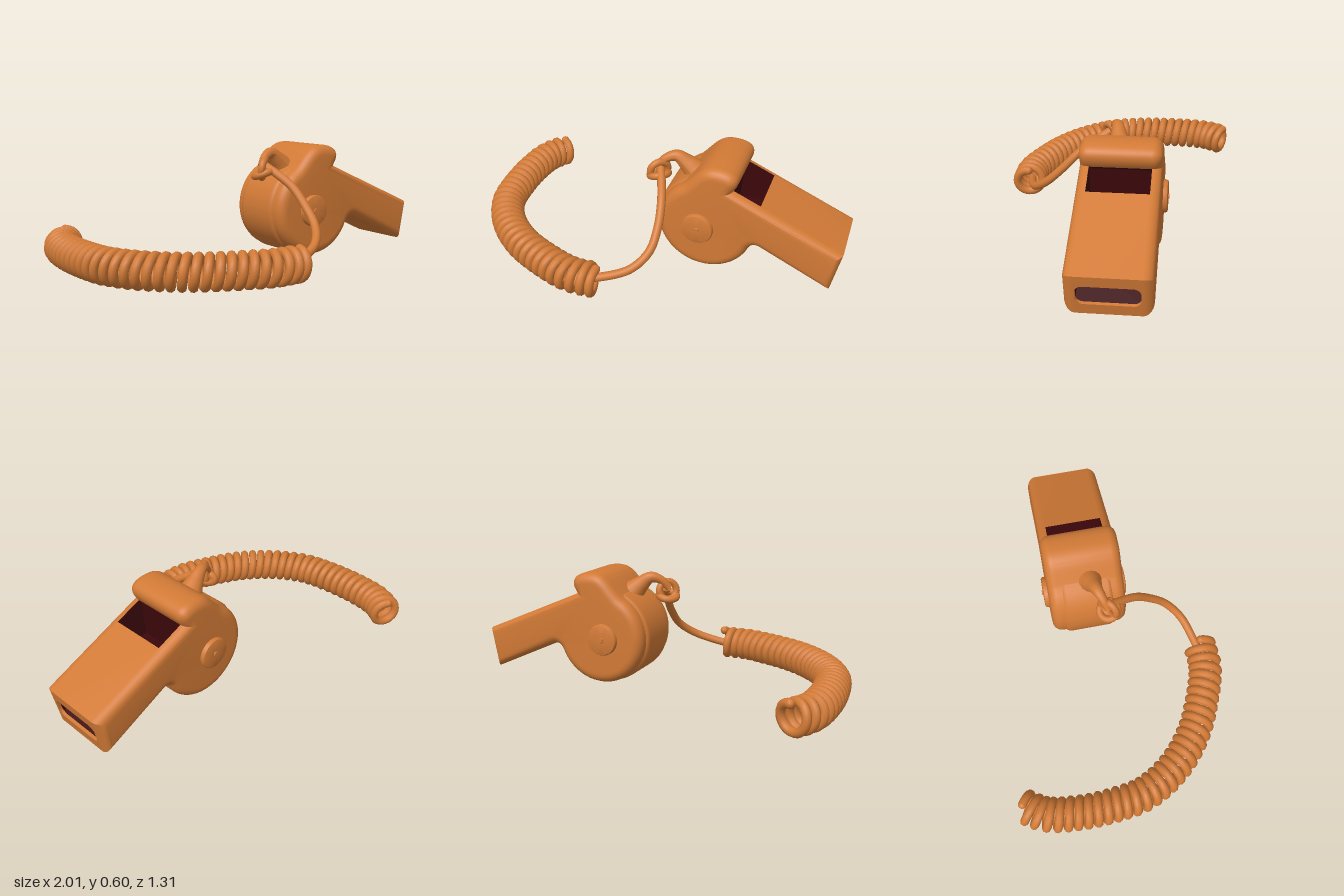
import * as THREE from 'three';
import { mergeGeometries, toCreasedNormals } from 'three/addons/utils/BufferGeometryUtils.js';

const V = (x, y, z) => new THREE.Vector3(x, y, z);
const M = 0.152;      // half width of the hollow core
const BEVEL = 0.05;   // rounding of the side edges
const B = new THREE.Vector2(0.69, 0.02), T = new THREE.Vector2(0.735, 0.24); // mouth edge
const H = new THREE.Vector2(0.165, 0.485); // foot of the hump

// Notches cut into the core: the mouth hole and the air slot
const mouthNotch = (() => {
  const a = B.clone().lerp(T, 0.24), b = B.clone().lerp(T, 0.76);
  const d = new THREE.Vector2(-0.276, 0.117);
  return [a, a.clone().add(d), b.clone().add(d), b];
})();
const slotNotch = [T.clone().lerp(H, 0.75), new THREE.Vector2(0.26, 0.26), new THREE.Vector2(0.13, 0.26),
  new THREE.Vector2(0.15, 0.47), H];

// Side outline of the whistle, with or without the notches
function outline(cut) {
  const s = new THREE.Shape();
  const cx = 0.03, cy = 0.258, r = 0.25, a0 = 2.07, a1 = 2 * Math.PI - 0.395;
  s.moveTo(B.x, B.y);
  if (cut) mouthNotch.forEach(p => s.lineTo(p.x, p.y));
  s.lineTo(T.x, T.y);
  if (cut) slotNotch.forEach(p => s.lineTo(p.x, p.y));
  else s.lineTo(H.x, H.y);
  s.bezierCurveTo(0.215, 0.55, 0.185, 0.6, 0.08, 0.6);
  s.bezierCurveTo(0.0, 0.6, -0.02, 0.55, cx + r * Math.cos(a0), cy + r * Math.sin(a0));
  s.absarc(cx, cy, r, a0, a1, false);
  s.quadraticCurveTo(0.28, 0.205, 0.315, 0.193);
  s.closePath();
  return s;
}

// Keep only the triangles whose centre passes the test
function keep(geo, test) {
  const p = geo.attributes.position, out = [], tri = new THREE.Triangle(), c = V(0, 0, 0);
  for (let i = 0; i < p.count; i += 3) {
    tri.setFromAttributeAndIndices(p, i, i + 1, i + 2);
    if (test(tri.getMidpoint(c))) out.push(...tri.a, ...tri.b, ...tri.c);
  }
  const g = new THREE.BufferGeometry();
  g.setAttribute('position', new THREE.Float32BufferAttribute(out, 3));
  g.computeVertexNormals();
  return g;
}

function extrude(shape, depth, bevel = 0) {
  return new THREE.ExtrudeGeometry(shape, {
    depth, curveSegments: 15, bevelEnabled: bevel > 0, bevelThickness: bevel,
    bevelSize: bevel, bevelOffset: -bevel, bevelSegments: 6,
  }).translate(0, 0, -depth / 2);
}

// Lining of a notch, open along its last edge
function lining(points) {
  const c = new THREE.Vector2();
  points.forEach(p => c.addScaledVector(p, 1 / points.length));
  const pts = points.map(p => p.clone().sub(c).multiplyScalar(0.985).add(c));
  const a = pts[0], e = pts[pts.length - 1].clone().sub(a);
  return keep(extrude(new THREE.Shape(pts), 2 * M - 0.003),
    m => Math.abs(e.x * (m.y - a.y) - e.y * (m.x - a.x)) > 1e-5);
}

function roundRect(path, w, h, r) {
  path.moveTo(w, h - r);
  path.absarc(w - r, h - r, r, 0, Math.PI / 2);
  path.absarc(r - w, h - r, r, Math.PI / 2, Math.PI);
  path.absarc(r - w, r - h, r, Math.PI, Math.PI * 1.5);
  path.absarc(w - r, r - h, r, Math.PI * 1.5, Math.PI * 2);
  return path;
}

// Helix wound around a level centre line
class Coil extends THREE.Curve {
  constructor(path, turns, radius) {
    super();
    Object.assign(this, { path, turns, radius, arcLengthDivisions: 3000 });
  }
  getPoint(t, target = V(0, 0, 0)) {
    const a = t * this.turns * Math.PI * 2 + Math.PI / 2;
    const tan = this.path.getTangentAt(t);
    const side = V(-tan.z, 0, tan.x).normalize();
    target.copy(this.path.getPointAt(t)).addScaledVector(side, Math.cos(a) * this.radius);
    target.y += Math.sin(a) * this.radius;
    return target;
  }
}

export function createModel() {
  const shellColor = new THREE.MeshStandardMaterial({ color: 0xd27a36, side: THREE.DoubleSide });
  shellColor.name = 'orangePlastic';
  const darkColor = new THREE.MeshStandardMaterial({ color: 0x3c070b, side: THREE.DoubleSide });
  darkColor.name = 'darkRedInside';

  const model = new THREE.Group();
  model.name = 'whistleWithCord';
  const add = (parent, name, geo, mat = shellColor) => {
    const m = new THREE.Mesh(geo, mat);
    m.name = name;
    parent.add(m);
    return m;
  };

  const whistle = new THREE.Group();
  whistle.name = 'whistle';
  whistle.position.set(0.255, 0, 0.035);
  whistle.rotation.y = -0.115;
  model.add(whistle);

  // Body: rounded sides joined to a notched core
  const sides = keep(extrude(outline(false), 2 * M, BEVEL), c => Math.abs(c.z) > M - 0.01);
  const core = keep(extrude(outline(true), 2 * M), c => Math.abs(c.z) < M - 0.01);
  add(whistle, 'body', toCreasedNormals(mergeGeometries([sides, core]), 0.7));
  add(whistle, 'mouthInside', lining(mouthNotch), darkColor);
  add(whistle, 'slotInside', lining(slotNotch), darkColor);

  // Raised band around the back of the drum
  const bandProfile = [[0.2, -0.14], [0.225, -0.138], [0.242, -0.128], [0.25, -0.11], [0.25, 0.11], [0.242, 0.128], [0.225, 0.138], [0.2, 0.14]]
    .map(([x, y]) => new THREE.Vector2(x, y));
  const band = add(whistle, 'drumBand', new THREE.LatheGeometry(bandProfile, 40, Math.PI, Math.PI));
  band.position.set(0.015, 0.258, 0);
  band.rotation.x = Math.PI / 2;

  // Rounded rim of the mouth hole
  const h = B.distanceTo(T) * 0.26;
  const rimShape = new THREE.Shape([[-M, -h], [M, -h], [M, h], [-M, h]].map(p => new THREE.Vector2(...p)));
  rimShape.holes.push(roundRect(new THREE.Path(), 0.146, 0.054, 0.035));
  const up = V(T.x - B.x, T.y - B.y, 0).normalize(), out = V(up.y, -up.x, 0);
  const rim = extrude(rimShape, 0.016);
  rim.applyMatrix4(new THREE.Matrix4().makeBasis(V(0, 0, -1), up, out)
    .setPosition(V((B.x + T.x) / 2, (B.y + T.y) / 2, 0).addScaledVector(out, -0.008)));
  add(whistle, 'mouthRim', toCreasedNormals(rim, 0.6));

  // Round bosses with a centre pin on both sides
  const bossProfile = [[0.084, -0.02], [0.084, 0.015], [0.08, 0.023], [0.073, 0.026], [0.014, 0.026], [0.012, 0.03], [0, 0.03]]
    .map(([x, y]) => new THREE.Vector2(x, y));
  const bossGeo = toCreasedNormals(new THREE.LatheGeometry(bossProfile, 40), 0.6);
  for (const s of [1, -1]) {
    const boss = add(whistle, s > 0 ? 'frontBoss' : 'backBoss', bossGeo);
    boss.position.set(0, 0.255, s * 0.2);
    boss.rotation.x = s * Math.PI / 2;
    const pin = add(whistle, 'bossPin', new THREE.CylinderGeometry(0.014, 0.014, 0.006, 4));
    pin.position.set(0, 0.255, s * 0.229);
    pin.rotation.x = s * Math.PI / 2;
  }

  // Tapering lug on the back of the drum
  const lugPath = new THREE.CatmullRomCurve3([V(0.2, 0.46, 0.05), V(0.14, 0.52, 0.055), V(0.085, 0.56, 0.06),
    V(0.03, 0.545, 0.075), V(-0.01, 0.5, 0.09)]);
  const lug = new THREE.TubeGeometry(lugPath, 30, 1, 14);
  const lp = lug.attributes.position, v = V(0, 0, 0);
  for (let i = 0; i < lp.count; i++) {
    const t = lug.attributes.uv.getX(i), c = lugPath.getPointAt(t);
    v.fromBufferAttribute(lp, i).sub(c).multiplyScalar(0.02 + 0.055 * (1 - t) ** 2).add(c);
    lp.setXYZ(i, v.x, v.y, v.z);
  }
  lug.computeVertexNormals();
  add(model, 'lug', lug);

  // Knotted loops holding the cord
  [[0, 0.46, 0.095, 1.3, 0.2], [0.0, 0.487, 0.095, 0.2, 0.6]].forEach(([x, y, z, rx, ry], i) => {
    const ring = add(model, 'cordLoop' + (i + 1), new THREE.TorusGeometry(0.048, 0.019, 12, 32));
    ring.position.set(x, y, z);
    ring.rotation.set(rx, ry, 0);
  });

  // Straight part of the cord
  const cordPath = new THREE.CatmullRomCurve3([V(0.01, 0.5, 0.1), V(0.03, 0.46, 0.17), V(0.05, 0.4, 0.26), V(0.053, 0.31, 0.35),
    V(0.03, 0.22, 0.44), V(-0.05, 0.15, 0.51), V(-0.2, 0.1, 0.545), V(-0.26, 0.09, 0.55)]);
  add(model, 'cord', new THREE.TubeGeometry(cordPath, 60, 0.022, 12));

  // Coiled part of the cord
  const coilPath = new THREE.CatmullRomCurve3([[-0.21, 0.566], [-0.35, 0.55], [-0.5, 0.48], [-0.68, 0.36], [-0.82, 0.2], [-0.9, 0.02],
    [-0.911, -0.15], [-0.893, -0.35], [-0.85, -0.51], [-0.775, -0.612]].map(([x, z]) => V(x, 0.095, z)));
  const coil = new Coil(coilPath, 32, 0.07);
  add(model, 'coiledCord', new THREE.TubeGeometry(coil, 800, 0.023, 9));
  for (const t of [0, 1]) {
    add(model, 'coilTip', new THREE.SphereGeometry(0.023, 12, 8)).position.copy(coil.getPoint(t));
  }
  return model;
}
